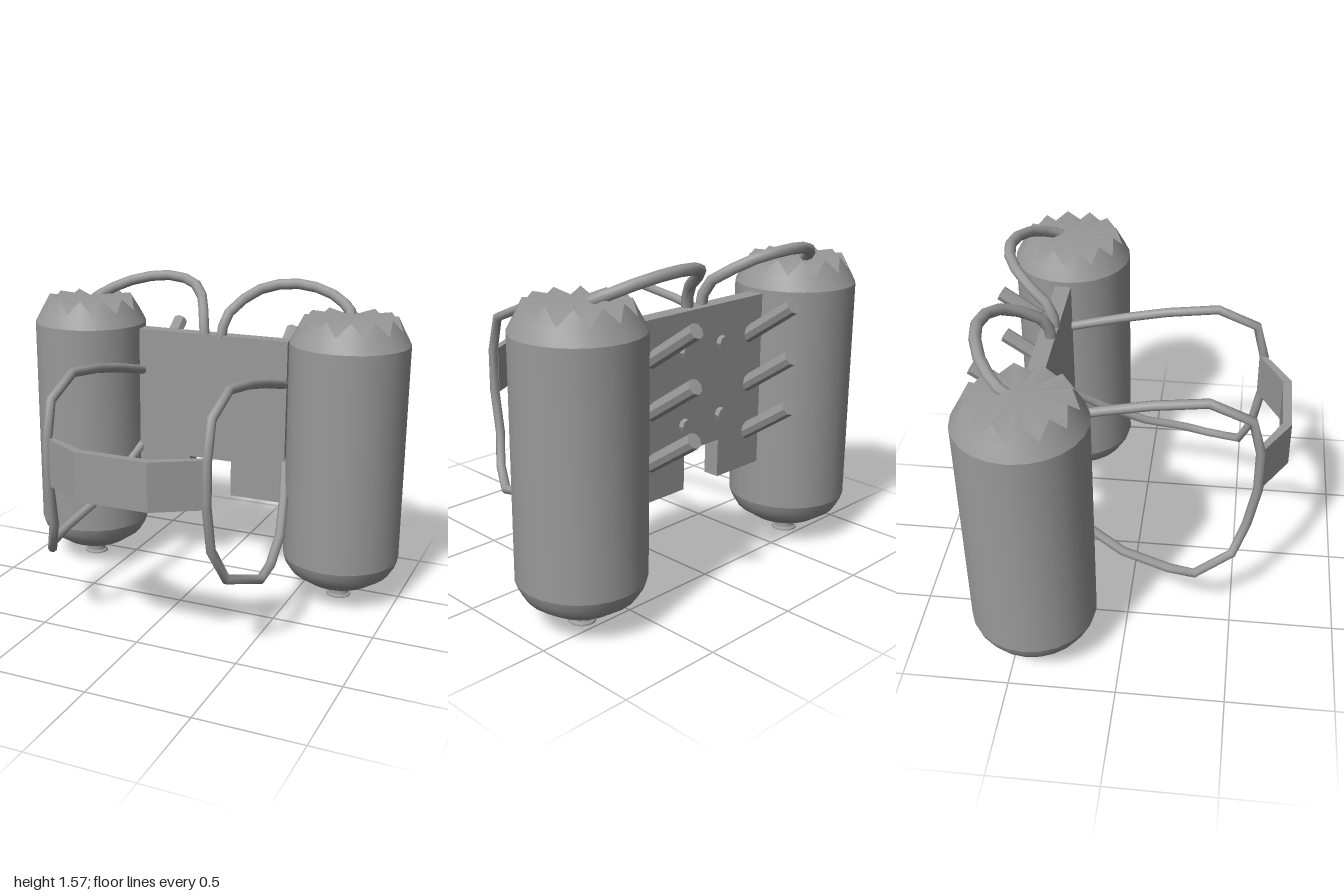
import * as THREE from 'three';
import { toCreasedNormals } from 'three/addons/utils/BufferGeometryUtils.js';

const smooth = new THREE.MeshStandardMaterial({ color: 0x999999 });
const flat = new THREE.MeshStandardMaterial({ color: 0x999999, flatShading: true });

function part(name, geometry, material = smooth) {
  const mesh = new THREE.Mesh(geometry, material);
  mesh.name = name;
  return mesh;
}

// Straight-segment path whose rings fall exactly on the corner points
class Polyline extends THREE.Curve {
  constructor(points) { super(); this.points = points; }
  getUtoTmapping(u) { return u; }
  getPoint(t, target = new THREE.Vector3()) {
    const n = this.points.length - 1;
    const i = Math.min(Math.floor(t * n), n - 1);
    return target.lerpVectors(this.points[i], this.points[i + 1], t * n - i);
  }
}

// Tube through [x, y, z] points, mirrored in x by side
function tube(name, coords, radius, side) {
  const points = coords.map(([x, y, z]) => new THREE.Vector3(x * side, y, z));
  return part(name, new THREE.TubeGeometry(new Polyline(points), points.length - 1, radius, 8));
}

function lathe(name, profile) {
  const points = profile.map(([r, y]) => new THREE.Vector2(r, y));
  return part(name, toCreasedNormals(new THREE.LatheGeometry(points, 24), 0.65));
}

function indexed(positions, index) {
  const geometry = new THREE.BufferGeometry();
  geometry.setAttribute('position', new THREE.Float32BufferAttribute(positions.flat(), 3));
  geometry.setIndex(index);
  geometry.computeVertexNormals();
  return geometry;
}

// Point i of a 24-sided ring
function ringPoint(i, r, y) {
  const a = (i / 24) * Math.PI * 2;
  return [r * Math.cos(a), y, -r * Math.sin(a)];
}
const lowPoint = (i) => ringPoint(i, 0.255, 1.385);
const peakPoint = (i) => ringPoint(i, 0.222, 1.45);

// Star-shaped cap: a fan over alternating low and high rim points
function capGeometry() {
  const positions = [[0, 1.45, 0]];
  const index = [];
  for (let i = 0; i < 24; i++) {
    positions.push(i % 2 ? peakPoint(i) : lowPoint(i));
    index.push(0, i + 1, ((i + 1) % 24) + 1);
  }
  return indexed(positions, index);
}

// Shoulder teeth that rise between the low points of the cap
function teethGeometry() {
  const positions = [];
  const index = [];
  for (let i = 0; i < 24; i++) positions.push(lowPoint(i));
  for (let i = 1; i < 24; i += 2) {
    const peak = positions.push(peakPoint(i)) - 1;
    index.push(i - 1, i, peak, i, (i + 1) % 24, peak);
  }
  return indexed(positions, index);
}

function tank(side) {
  const group = new THREE.Group();
  group.name = side > 0 ? 'leftTank' : 'rightTank';
  group.add(
    lathe('tankBase', [[0, 0.055], [0.06, 0.06], [0.17, 0.09], [0.252, 0.145], [0.28, 0.19], [0.292, 0.225]]),
    lathe('tankWall', [[0.292, 0.225], [0.292, 1.315]]),
    lathe('tankShoulder', [[0.292, 1.315], [0.278, 1.343], [0.255, 1.385]]),
    lathe('nozzle', [[0, 0.035], [0.04, 0.03], [0.043, 0], [0.063, 0], [0.062, 0.007], [0.05, 0.014], [0.046, 0.035], [0.058, 0.062]]),
    part('shoulderTeeth', teethGeometry()),
    part('tankCap', capGeometry())
  );
  group.position.set(0.708 * side, 0, -0.415);
  return group;
}

// Back plate with a notch in its lower edge
function backPlate() {
  const shape = new THREE.Shape([
    [-0.405, 0.46], [-0.115, 0.46], [-0.115, 0.645], [0.115, 0.645],
    [0.115, 0.46], [0.405, 0.46], [0.405, 1.3], [-0.405, 1.3]
  ].map(([x, y]) => new THREE.Vector2(x, y)));
  const geometry = new THREE.ExtrudeGeometry(shape, { depth: 0.08, bevelEnabled: false });
  return part('backPlate', geometry.translate(0, 0, -0.46), flat);
}

// Bent waist belt, drawn in plan and extruded downwards
function belt() {
  const shape = new THREE.Shape([
    [0.385, 0.598], [0.175, 0.727], [-0.175, 0.727], [-0.385, 0.598],
    [-0.375, 0.57], [-0.165, 0.685], [0.165, 0.685], [0.375, 0.57]
  ].map(([x, z]) => new THREE.Vector2(x, z)));
  const geometry = new THREE.ExtrudeGeometry(shape, { depth: 0.225, bevelEnabled: false });
  return part('waistBelt', geometry.rotateX(Math.PI / 2).translate(0, 0.98, 0), flat);
}

// Faceted cylinder running from one point to another
function rod(name, from, to, radius) {
  const a = new THREE.Vector3(...from);
  const b = new THREE.Vector3(...to);
  const direction = b.clone().sub(a);
  const mesh = part(name, new THREE.CylinderGeometry(radius, radius, direction.length(), 8), flat);
  mesh.position.copy(a).add(b).multiplyScalar(0.5);
  mesh.quaternion.setFromUnitVectors(new THREE.Vector3(0, 1, 0), direction.normalize());
  return mesh;
}

export function createModel() {
  const model = new THREE.Group();
  model.name = 'tankBackpack';
  model.add(backPlate(), belt());

  const hose = [
    [0.045, 1.285, -0.4], [0.052, 1.345, -0.405], [0.07, 1.41, -0.44], [0.115, 1.468, -0.525],
    [0.18, 1.513, -0.595], [0.26, 1.535, -0.638], [0.36, 1.543, -0.655], [0.46, 1.534, -0.64],
    [0.56, 1.51, -0.602], [0.635, 1.478, -0.55], [0.68, 1.45, -0.5], [0.69, 1.43, -0.465]
  ];
  const strap = [
    [0.39, 1.08, -0.4], [0.39, 1.15, -0.12], [0.39, 1.195, 0.1], [0.39, 1.227, 0.35],
    [0.39, 1.145, 0.545], [0.39, 0.97, 0.59], [0.39, 0.76, 0.59], [0.395, 0.55, 0.55],
    [0.445, 0.4, 0.49], [0.545, 0.35, 0.32], [0.548, 0.375, 0.2], [0.515, 0.43, -0.02],
    [0.455, 0.55, -0.24], [0.4, 0.68, -0.41]
  ];

  for (const side of [1, -1]) {
    model.add(tank(side), tube('hose', hose, 0.027, side), tube('shoulderStrap', strap, 0.023, side));

    // Slanted pegs and bolts on the back of the plate
    for (let row = 0; row < 3; row++) {
      const y = 1.11 - row * 0.24;
      model.add(rod('peg', [0.32 * side, y, -0.44], [0.32 * side, y + 0.185, -0.71], 0.037));
    }
    for (const y of [1.12, 0.775]) {
      model.add(rod('bolt', [0.12 * side, y, -0.45], [0.12 * side, y, -0.485], 0.032));
    }
  }
  return model;
}
